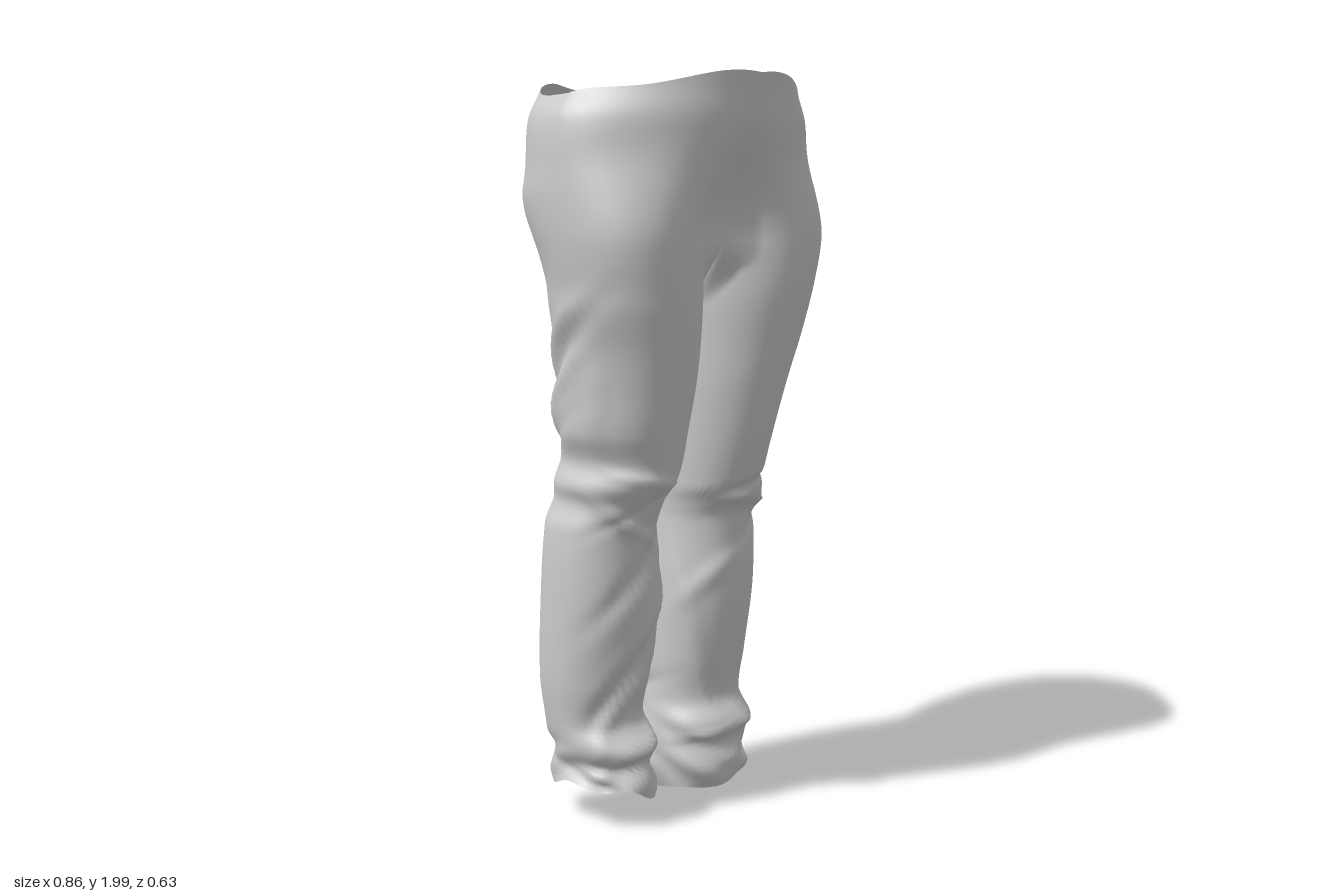
import * as THREE from 'three';
import { mergeVertices } from 'three/addons/utils/BufferGeometryUtils.js';

const OUT = 40, INNER = 14, RING = OUT + INNER; // points around the outside / inside of a leg
const HIP_ROWS = 28, LEG_ROWS = 120;
const { lerp, smoothstep, degToRad } = THREE.MathUtils;

// Waist and hips: y, half width, front z, back z
const HIPS = [
  [2.0, 0.362, 0.315, -0.265], [1.95, 0.378, 0.306, -0.298], [1.88, 0.417, 0.297, -0.312],
  [1.75, 0.427, 0.275, -0.315], [1.65, 0.427, 0.262, -0.31], [1.55, 0.415, 0.25, -0.25],
];
// Legs: y, outer x, inner x, front z, back z
const THIGH = [[1.7, 0.427, 0, 0.256, -0.315], [1.6, 0.42, 0, 0.253, -0.255], [1.53, 0.41, 0, 0.25, -0.22], [1.46, 0.397, 0.001, 0.244, -0.203]];
const LEFT = [...THIGH,
  [1.4, 0.388, 0.003, 0.235, -0.193], [1.3, 0.372, 0.011, 0.215, -0.187], [1.2, 0.347, 0.018, 0.195, -0.187],
  [1.05, 0.318, 0.028, 0.16, -0.195], [0.93, 0.312, 0.035, 0.125, -0.208], [0.885, 0.322, 0.04, 0.11, -0.213],
  [0.85, 0.345, 0.045, 0.085, -0.22], [0.81, 0.342, 0.05, 0.065, -0.228], [0.6, 0.338, 0.043, 0.063, -0.247],
  [0.4, 0.333, 0.043, 0.032, -0.255], [0.28, 0.325, 0.048, 0.015, -0.245], [0.22, 0.332, 0.038, 0.055, -0.255],
  [0.16, 0.322, 0.038, 0.04, -0.243], [0.09, 0.325, 0.043, 0.055, -0.255], [0.0, 0.3, 0.07, 0.02, -0.257],
];
const RIGHT = [...THIGH,
  [1.4, 0.388, 0.004, 0.238, -0.193], [1.3, 0.362, 0.012, 0.222, -0.187], [1.2, 0.35, 0.018, 0.202, -0.187],
  [1.08, 0.34, 0.026, 0.175, -0.193], [1.0, 0.31, 0.033, 0.155, -0.2], [0.94, 0.33, 0.043, 0.14, -0.205],
  [0.89, 0.318, 0.06, 0.105, -0.212], [0.82, 0.34, 0.048, 0.073, -0.226], [0.6, 0.345, 0.03, 0.063, -0.248],
  [0.4, 0.338, 0.038, 0.027, -0.254], [0.28, 0.322, 0.056, 0.01, -0.242], [0.22, 0.312, 0.05, 0.068, -0.25],
  [0.17, 0.298, 0.066, 0.045, -0.238], [0.11, 0.305, 0.06, 0.07, -0.246], [0.03, 0.298, 0.078, 0.05, -0.24],
];

// Cloth folds: y, angle from the front towards the outside, slope, height, angular spread, depth
const SHARED_FOLDS = [
  [1.32, 120, -0.16, 0.03, 0.9, 0.011], [1.22, 130, -0.18, 0.03, 0.9, -0.013], [1.13, 140, -0.18, 0.03, 0.9, 0.012],
  [1.42, 160, -0.1, 0.03, 0.6, -0.01], [1.02, 150, -0.12, 0.03, 0.8, -0.012], [0.92, 190, 0.08, 0.025, 0.8, 0.008],
  [0.27, 200, 0.05, 0.02, 1.0, -0.014], [0.19, 170, -0.03, 0.018, 0.9, -0.015], [0.13, 60, 0.04, 0.014, 0.8, -0.015],
];
const LEFT_FOLDS = [...SHARED_FOLDS,
  [0.9, 0, 0.03, 0.014, 1.0, -0.014], [0.86, 0, -0.03, 0.012, 1.1, 0.013], [0.78, 30, 0.08, 0.03, 0.7, -0.014],
  [0.66, -30, 0.12, 0.04, 0.6, 0.01], [0.45, -40, -0.35, 0.05, 0.6, 0.014], [0.34, -20, -0.3, 0.04, 0.5, -0.016],
  [0.2, 0, 0.02, 0.014, 1.2, 0.012], [0.15, -20, -0.05, 0.015, 0.9, -0.015],
];
const RIGHT_FOLDS = [...SHARED_FOLDS,
  [1.2, 0, 0, 0.16, 0.12, -0.012], [1.18, 75, 0, 0.12, 0.16, 0.008], [0.95, 0, 0.03, 0.014, 0.9, 0.012],
  [0.9, -10, -0.07, 0.016, 0.9, -0.015], [0.84, 20, 0.08, 0.02, 0.8, 0.012], [0.7, 0, -0.14, 0.035, 0.8, -0.015],
  [0.56, -20, -0.16, 0.04, 0.7, 0.013], [0.44, 0, -0.18, 0.035, 0.8, -0.015], [0.33, 10, -0.15, 0.025, 0.8, 0.012],
  [0.22, -10, -0.06, 0.014, 1.0, 0.012], [0.17, 40, 0, 0.014, 0.8, -0.015],
];

// Look up a profile table at height y, with a smooth curve through its rows
function sample(table, y) {
  const last = table.length - 1;
  if (y >= table[0][0]) return table[0];
  if (y <= table[last][0]) return table[last];
  const k = table.findIndex((row) => y >= row[0]);
  const a = table[k - 1], b = table[k], before = table[Math.max(k - 2, 0)], after = table[Math.min(k + 1, last)];
  const h = b[0] - a[0], t = (y - a[0]) / h;
  return a.map((v, n) => {
    const m0 = (h * (b[n] - before[n])) / (b[0] - before[0]);
    const m1 = (h * (after[n] - v)) / (after[0] - a[0]);
    const d = b[n] - v;
    return v + t * (m0 + t * (3 * d - 2 * m0 - m1 + t * (m0 + m1 - 2 * d)));
  });
}

// Angle of a ring point: from the inner front, round the outside to the inner back, then along the inside
const ringAngle = (i) => degToRad(i <= OUT ? -46 + (278 * i) / OUT : 232 + (82 * (i - OUT)) / INNER);

const soft = (v) => Math.sign(v) * Math.abs(v) ** 0.93; // slightly boxy oval

function legPoint(table, folds, a, y, strength) {
  const [, xo, xi, zf, zb] = sample(table, y);
  let bump = 0;
  for (const [fy, deg, slope, h, spread, depth] of folds) {
    let d = a - degToRad(deg);
    d -= Math.round(d / (2 * Math.PI)) * 2 * Math.PI;
    bump += depth * Math.exp(-(((y - fy - slope * d) / h) ** 2) - (d / spread) ** 2);
  }
  // fine crumpling near the hem
  bump += 0.006 * smoothstep(0.3 - y, 0, 0.2) * Math.sin(5 * a + y * 60);
  bump *= strength;
  // thighs are fuller at the outer front and the inner back
  const skew = 0.032 * smoothstep(y, 1.15, 1.6) * Math.cos(a);
  const x = (xo + xi) / 2 + ((xo - xi) / 2 + bump) * soft(Math.sin(a)) + skew;
  return [Math.max(x, xi), y, (zf + zb) / 2 + ((zf - zb) / 2 + bump) * soft(Math.cos(a))];
}

// Height of the line where the hips become legs, dipping under the crotch
function seamY(i) {
  if (i <= OUT) return lerp(1.57, 1.54, i / OUT);
  const t = (i - OUT) / INNER;
  return lerp(1.54, 1.57, t) - 0.1 * Math.sin(Math.PI * t);
}

function hipPoint(i, s) {
  const th = (Math.PI * i) / OUT, a = ringAngle(i);
  const top = 1.965 + 0.027 * Math.cos(2 * th) - 0.025 * smoothstep(th, 2.5, Math.PI) + 0.006 * Math.sin(6 * th);
  const y = lerp(top, seamY(i), s);
  const [, hx, zf, zb] = sample(HIPS, y);
  // pointed at the front of the waist, fuller at the seat
  const mid = 0.02, c = Math.cos(th);
  const z = c > 0 ? mid + (zf - mid) * c ** lerp(1.35, 0.8, s) : mid - (mid - zb) * (-c) ** 0.87;
  const hip = [hx * Math.sin(th), y, z];
  const w = smoothstep(s, lerp(0.25, 0.48, i / OUT), 1), leg = legPoint(THIGH, [], a, y, 0);
  const p = hip.map((v, n) => lerp(v, leg[n], w));
  if (i === 0 || i === OUT) p[0] = 0;
  return p;
}

function legRingPoint(table, folds, hem, i, v) {
  const a = ringAngle(i);
  const y = lerp(seamY(i), hem(a), v);
  const p = legPoint(table, folds, a, y, smoothstep(v, 0, 0.12));
  // close the inside onto the crotch seam
  if (i === 0 || i >= OUT) p[0] *= smoothstep(v, 0, 0.05);
  return p;
}

export function createModel() {
  const positions = [], index = [], parts = [];

  // Adds a grid of points; side -1 mirrors it to the right
  function addGrid(cols, rows, closed, side, point) {
    const base = positions.length / 3;
    for (let j = 0; j <= rows; j++) {
      for (let i = 0; i < cols; i++) {
        const [x, y, z] = point(i, j / rows);
        positions.push(side * x, y, z);
      }
    }
    for (let j = 0; j < rows; j++) {
      for (let i = 0; i < (closed ? cols : cols - 1); i++) {
        const n = (i + 1) % cols;
        const a = base + j * cols + i, b = base + j * cols + n, c = a + cols, d = b + cols;
        if (side > 0) index.push(a, c, b, b, c, d);
        else index.push(a, b, c, b, d, c);
      }
    }
  }
  function part(name, build) {
    const start = index.length;
    build();
    parts.push([name, start, index.length]);
  }

  part('hips', () => {
    for (const side of [1, -1]) addGrid(OUT + 1, HIP_ROWS, false, side, hipPoint);
  });
  const leftHem = (a) => 0.03 + 0.016 * Math.sin(a) + 0.013 * Math.cos(a) + 0.007 * Math.sin(4 * a);
  const rightHem = (a) => 0.085 + 0.032 * Math.sin(a) + 0.01 * Math.cos(a) + 0.01 * Math.sin(5 * a);
  part('leftLeg', () => addGrid(RING, LEG_ROWS, true, 1, (i, v) => legRingPoint(LEFT, LEFT_FOLDS, leftHem, i, v)));
  part('rightLeg', () => addGrid(RING, LEG_ROWS, true, -1, (i, v) => legRingPoint(RIGHT, RIGHT_FOLDS, rightHem, i, v)));

  // Weld all parts so the shading runs smoothly across the seams
  let cloth = new THREE.BufferGeometry();
  cloth.setAttribute('position', new THREE.Float32BufferAttribute(positions, 3));
  cloth.setIndex(index);
  cloth = mergeVertices(cloth, 1e-4);
  cloth.computeVertexNormals();

  const material = new THREE.MeshStandardMaterial({ color: 0xcccccc, side: THREE.DoubleSide });
  const trousers = new THREE.Group();
  trousers.name = 'trousers';
  const welded = Array.from(cloth.index.array);
  for (const [name, start, end] of parts) {
    const geometry = new THREE.BufferGeometry();
    geometry.setAttribute('position', cloth.attributes.position);
    geometry.setAttribute('normal', cloth.attributes.normal);
    geometry.setIndex(welded.slice(start, end));
    const mesh = new THREE.Mesh(geometry, material);
    mesh.name = name;
    trousers.add(mesh);
  }
  return trousers;
}
